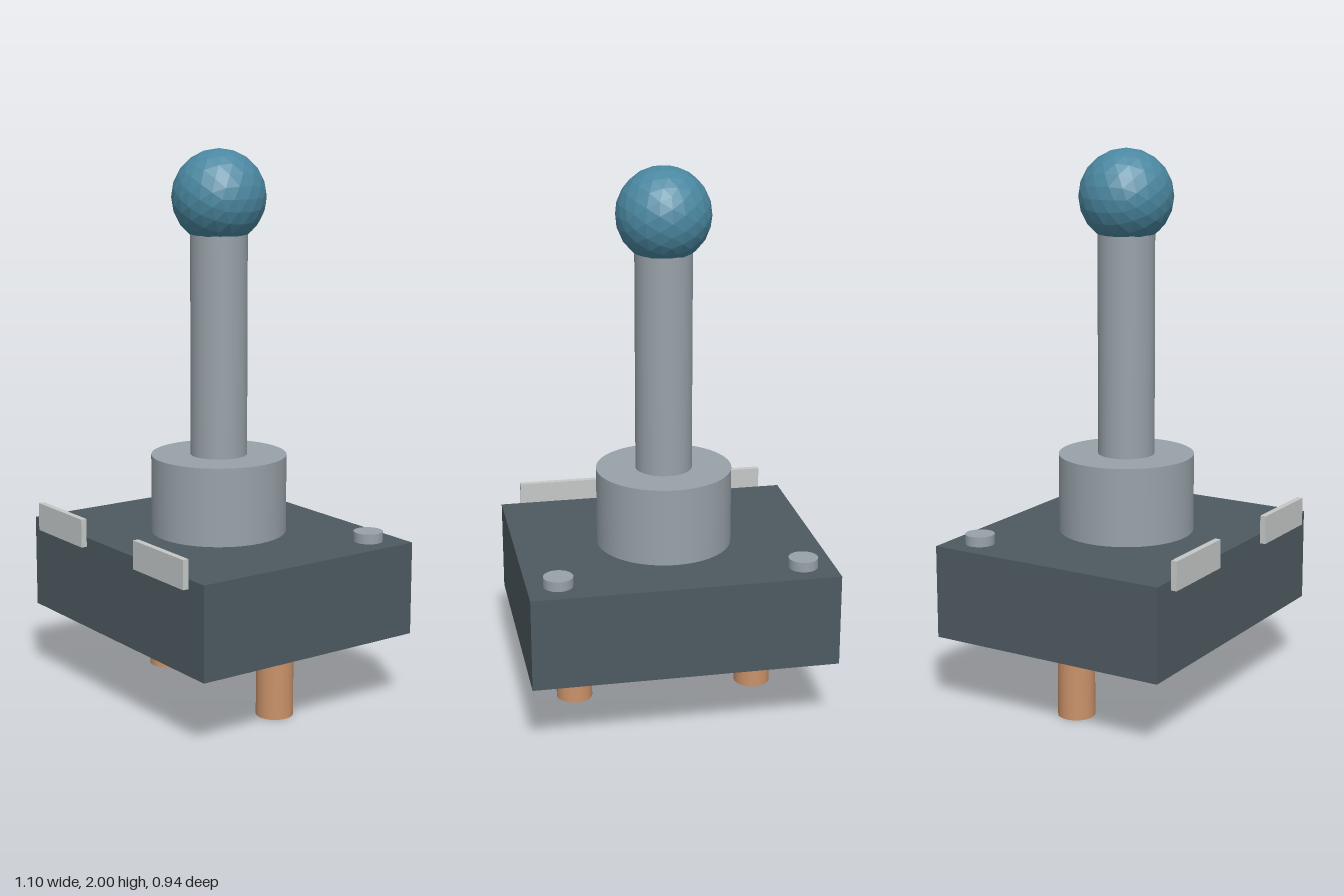
import * as THREE from 'three';

function material(name, color) {
  const m = new THREE.MeshStandardMaterial({ color });
  m.name = name;
  return m;
}

export function createModel() {
  const group = new THREE.Group();
  group.name = 'joystick';
  const slate = material('slate', 0x4d5a61);
  const steel = material('steel', 0x98a2a9);
  const silver = material('silver', 0xc4c8c7);
  const copper = material('copper', 0xca926a);
  const blue = material('blue', 0x4b88a1);
  const midZ = -0.015;

  function add(name, geometry, mat, x, y, z) {
    const mesh = new THREE.Mesh(geometry, mat);
    mesh.name = name;
    mesh.position.set(x, y, z);
    group.add(mesh);
  }
  // Upright cylinder spanning y0 to y1
  function post(name, radius, y0, y1, mat, x, z, sides = 48) {
    add(name, new THREE.CylinderGeometry(radius, radius, y1 - y0, sides), mat, x, (y0 + y1) / 2, z);
  }

  // Housing, collar and lever
  add('housing', new THREE.BoxGeometry(1.104, 0.34, 0.914), slate, 0, 0.44, midZ);
  post('collar', 0.247, 0.61, 0.896, steel, 0, midZ, 64);
  post('shaft', 0.103, 0.896, 1.7, steel, 0, midZ);

  // Faceted ball knob
  const ball = new THREE.IcosahedronGeometry(0.17, 3);
  const knobMaterial = blue;
  knobMaterial.flatShading = true;
  add('knob', ball, knobMaterial, 0, 1.83, midZ);

  // Mirrored pairs: pins below, rear screws and front tabs
  for (const [side, s] of [['left', 1], ['right', -1]]) {
    post(side + 'Pin', 0.067, 0, 0.27, copper, s * 0.343, midZ);
    post(side + 'Screw', 0.053, 0.61, 0.646, steel, s * 0.44, -0.36, 32);
    add(side + 'Tab', new THREE.BoxGeometry(0.304, 0.104, 0.022), silver, s * 0.323, 0.632, 0.461);
  }
  return group;
}
